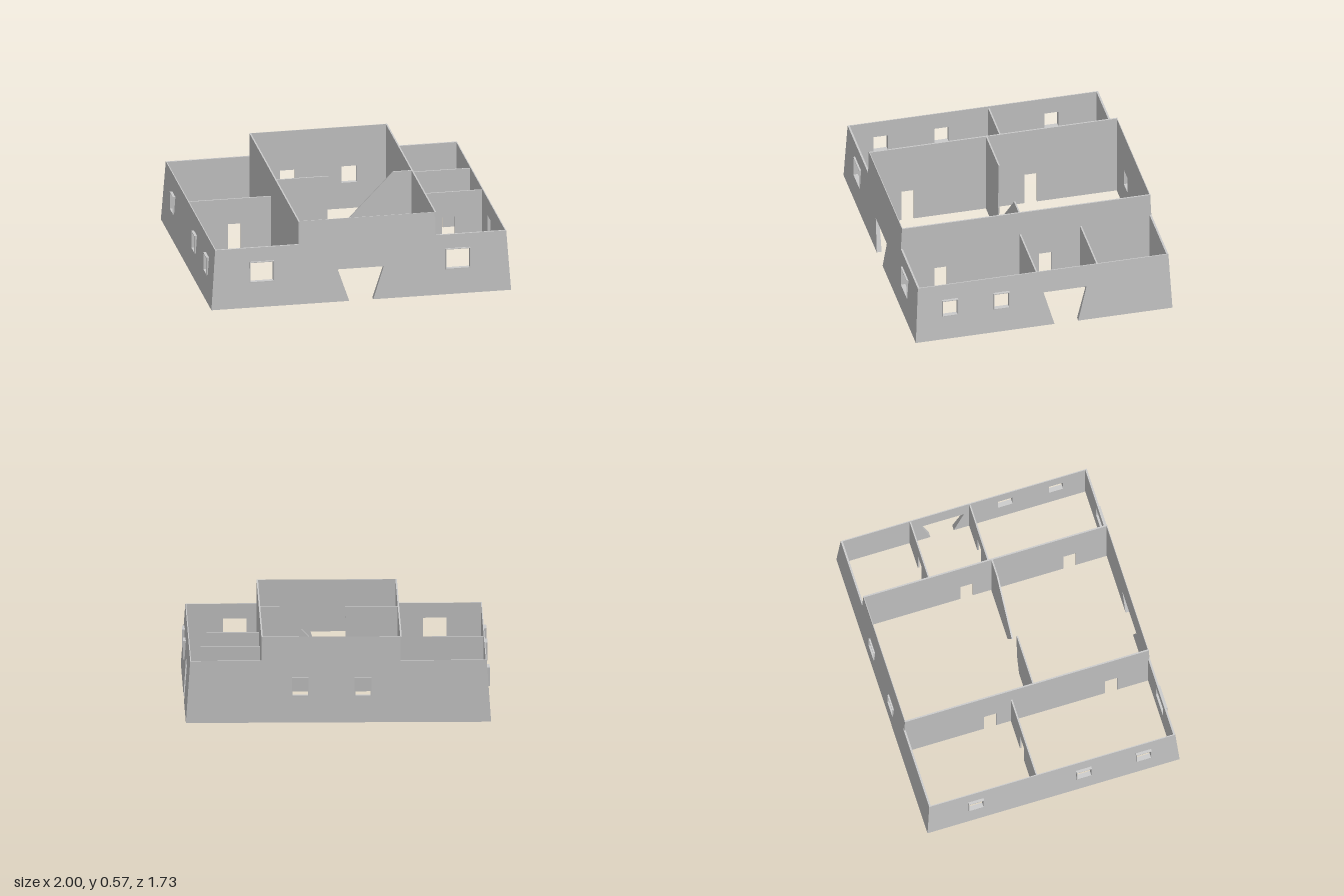
import * as THREE from 'three';

const material = new THREE.MeshStandardMaterial({ color: 0xcccccc, flatShading: true, side: THREE.DoubleSide });
const HALF_X = 1, HALF_Z = 0.865;        // footprint at the ground
const SLOPE_X = 0.07, SLOPE_Z = 0.05;    // batter of the outer faces
const LOW = 0.41, TALL = 0.57;           // wall heights
const HALL_L = -0.407, HALL_R = 0.5;     // sides of the tall hall
const THIN = 0.01;                       // partition thickness

const polygon = (points) => new THREE.Shape(points.map(([x, y]) => new THREE.Vector2(x, y)));

function rectPoints(x0, x1, y0, y1) {
  return [[x0, y0], [x1, y0], [x1, y1], [x0, y1]];
}

function extrude(shape, depth) {
  return new THREE.ExtrudeGeometry(shape, { depth, bevelEnabled: false });
}

function addMesh(parent, name, geometry) {
  const mesh = new THREE.Mesh(geometry, material);
  mesh.name = name;
  parent.add(mesh);
  return mesh;
}

// Outer wall: vertical inside, leaning outside, with framed windows [x0, x1, y0, y1]
function outerWall(name, points, windows, distance, slope, inner, angle) {
  const group = new THREE.Group();
  group.name = name;
  const shape = polygon(points);
  windows.forEach((w) => shape.holes.push(polygon(rectPoints(...w))));
  const geometry = extrude(shape, 1);
  const p = geometry.attributes.position;
  for (let i = 0; i < p.count; i++) {
    p.setZ(i, p.getZ(i) > 0.5 ? distance - slope * p.getY(i) : inner);
  }
  geometry.computeVertexNormals();
  addMesh(group, name + 'Panel', geometry);

  // Thin frame lining each window
  windows.forEach(([x0, x1, y0, y1]) => {
    const t = 0.005;
    const ring = polygon(rectPoints(x0 - t, x1 + t, y0 - t, y1 + t));
    ring.holes.push(polygon(rectPoints(x0, x1, y0, y1)));
    addMesh(group, 'windowFrame', extrude(ring, 0.03)).position.z = distance - 0.033;
  });
  group.rotation.y = angle;
  return group;
}

// Partition along x at a given z
function partitionX(name, points, z) {
  const geometry = extrude(polygon(points), THIN);
  geometry.translate(0, 0, z - THIN / 2);
  return addMesh(new THREE.Group(), name, geometry);
}

// Outline of a straight wall with rectangular doorways cut up from the ground
function wallWithDoors(start, end, height, doors) {
  const points = [[start, 0]];
  doors.forEach(([a, b]) => points.push([a, 0], [a, 0.225], [b, 0.225], [b, 0]));
  points.push([end, 0], [end, height], [start, height]);
  return points;
}

// Partition along z at a given x
function partitionZ(name, doors, x) {
  const points = wallWithDoors(-0.838, 0.838, TALL, doors).map(([z, y]) => [-z, y]);
  const geometry = extrude(polygon(points), THIN);
  geometry.rotateY(Math.PI / 2);
  geometry.translate(x - THIN / 2, 0, 0);
  return addMesh(new THREE.Group(), name, geometry);
}

// Stepped outline shared by the front and back walls; `door` is a run of notch points
function steppedOutline(left, right, door) {
  const e = HALF_X - SLOPE_X * LOW;
  return [[-HALF_X, 0], ...door, [HALF_X, 0], [e, LOW], [right, LOW], [right, TALL],
    [left, TALL], [left, LOW], [-e, LOW]];
}

function sideOutline(door) {
  const e = HALF_Z - SLOPE_Z * LOW;
  return [[-HALF_Z, 0], ...door, [HALF_Z, 0], [e, LOW], [-e, LOW]];
}

export function createModel() {
  const model = new THREE.Group();
  model.name = 'house';

  // Outer walls
  const frontDoor = [[-0.08, 0], [-0.155, 0.222], [0.152, 0.222], [0.08, 0]];
  const sideDoor = [[0.07, 0], [0, 0.25], [0.29, 0.25], [0.23, 0]];
  const innerX = 0.965, innerZ = 0.832;
  model.add(
    outerWall('frontWall', steppedOutline(HALL_L, HALL_R, frontDoor),
      [[-0.74, -0.585, 0.177, 0.31], [0.57, 0.725, 0.177, 0.31]],
      HALF_Z, SLOPE_Z, innerZ, 0),
    outerWall('backWall', steppedOutline(-HALL_R, -HALL_L, []),
      [[-0.3, -0.2, 0.18, 0.295], [0.11, 0.21, 0.18, 0.295]],
      HALF_Z, SLOPE_Z, innerZ, Math.PI),
    outerWall('leftWall', sideOutline(sideDoor),
      [[-0.68, -0.583, 0.18, 0.293], [-0.333, -0.235, 0.18, 0.293]],
      HALF_X, SLOPE_X, innerX, Math.PI / 2),
    outerWall('rightWall', sideOutline([]),
      [[-0.575, -0.48, 0.18, 0.293], [0.165, 0.26, 0.18, 0.293], [0.575, 0.67, 0.18, 0.293]],
      HALF_X, SLOPE_X, innerX, -Math.PI / 2),
  );

  // Long walls on either side of the hall
  model.add(
    partitionZ('hallRightWall', [[-0.295, -0.21], [0.535, 0.62]], HALL_L - 0.003),
    partitionZ('hallLeftWall', [[-0.17, -0.085], [0.535, 0.62]], HALL_R),
  );

  // Broken cross wall in the hall
  model.add(
    partitionX('hallCrossWallRight',
      [[HALL_L, 0], [-0.113, 0], [-0.067, 0.23], [-0.06, TALL], [HALL_L, TALL]], 0.045),
    partitionX('hallCrossWallLeft',
      [[0.135, 0], [HALL_R, 0], [HALL_R, TALL], [0.37, TALL], [0.08, 0.27], [0.045, 0.235]], 0.045),
  );

  // Low partitions in the side rooms
  model.add(
    partitionX('rightRoomPartition', wallWithDoors(-0.97, HALL_L, 0.4, [[-0.7, -0.615]]), -0.105),
    partitionX('leftRoomFrontPartition', wallWithDoors(HALL_R, 0.97, 0.4, [[0.7, 0.785]]), 0.04),
    partitionX('leftRoomBackPartition', wallWithDoors(HALL_R, 0.97, 0.4, [[0.7, 0.785]]), -0.368),
  );
  return model;
}
